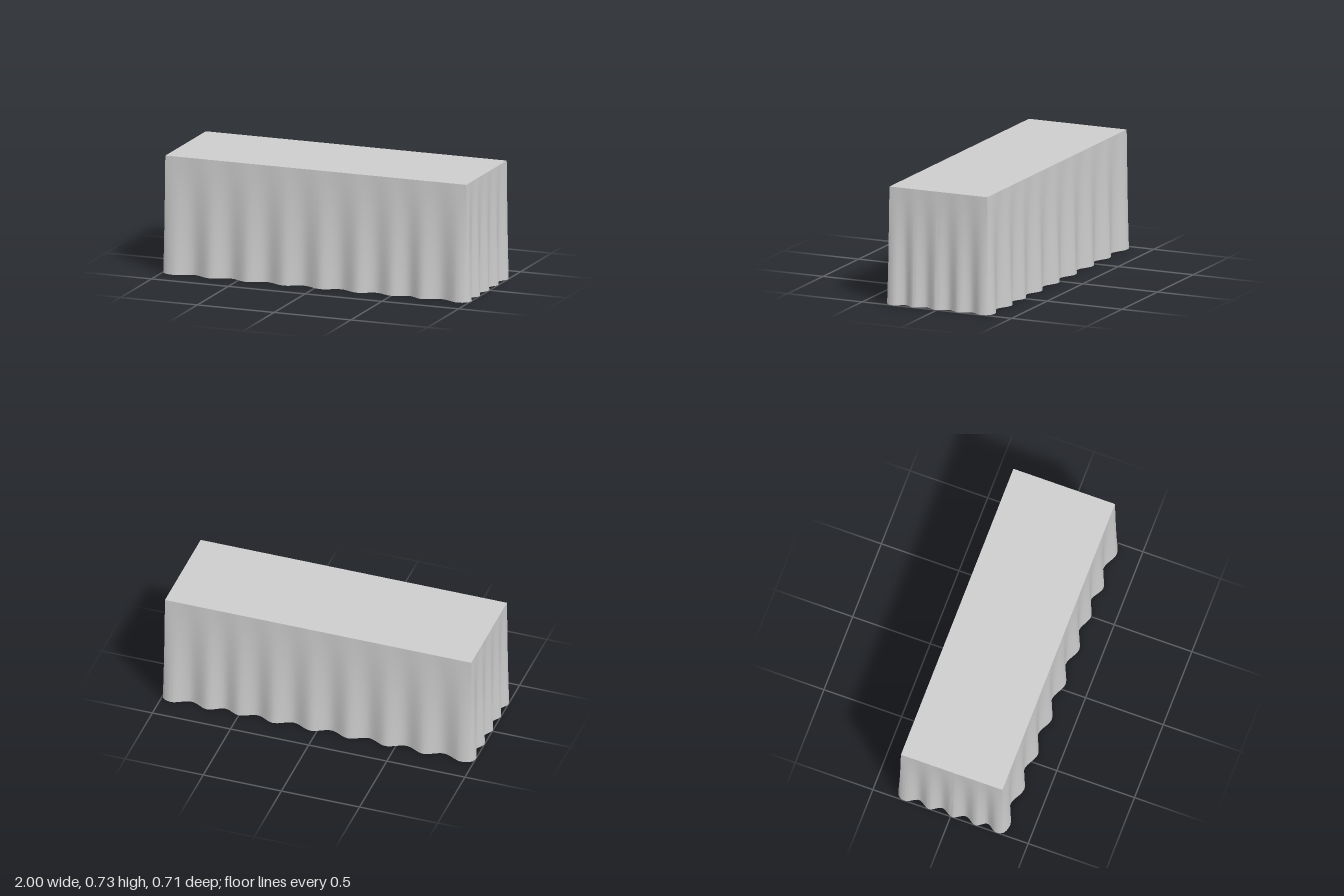
import * as THREE from 'three';
import { toCreasedNormals } from 'three/addons/utils/BufferGeometryUtils.js';

const W = 0.98, D = 0.327, H = 0.73; // half width, half depth and height of the table
const ROWS = 12, STEPS = 8;

// Fold crests along the long and short sides
const longFolds = [-0.92, -0.68, -0.44, -0.2, 0.04, 0.28, 0.5, 0.7, 0.93];
const shortFolds = [0.29, 0.16, 0.01, -0.14, -0.29];

// Crests with a valley between each pair: [position, outward offset]
function folds(crests, out, dip) {
  const list = [];
  crests.forEach((c, i) => {
    list.push([c, Math.abs(c - 0.5) < 0.01 ? out * 0.8 : out]);
    if (i < crests.length - 1) list.push([(c + crests[i + 1]) / 2, dip]);
  });
  return list;
}

// Hem outline, counter-clockwise from above, with the matching points on the top edge
function outline() {
  const hem = [], rim = [];
  const add = (x, z, tx, tz) => {
    hem.push(new THREE.Vector3(x, 0, z));
    rim.push(new THREE.Vector3(tx, H, tz));
  };
  const corner = (sx, sz) => add(sx * (W + 0.006), sz * (D + 0.009), sx * W, sz * D);
  const long = folds(longFolds, 0.03, -0.014);
  const short = folds(shortFolds, 0.02, -0.014);
  corner(-1, 1);
  long.forEach(([x, o]) => add(x, D + o, x, D));
  corner(1, 1);
  short.forEach(([z, o]) => add(W + o, z, W, z));
  corner(1, -1);
  [...long].reverse().forEach(([x, o]) => add(x, -D - o, x, -D));
  corner(-1, -1);
  [...short].reverse().forEach(([z, o]) => add(-W - o, z, -W, z));
  return { hem, rim };
}

// Draped skirt: straight at the rim, fully folded at the hem
function skirtGeometry() {
  const { hem, rim } = outline();
  const curve = new THREE.CatmullRomCurve3(hem, true, 'centripetal');
  const n = hem.length, cols = n * STEPS;
  const pos = [], idx = [];
  const top = new THREE.Vector3(), p = new THREE.Vector3();
  for (let r = 0; r <= ROWS; r++) {
    for (let c = 0; c < cols; c++) {
      const k = Math.floor(c / STEPS);
      top.lerpVectors(rim[k], rim[(k + 1) % n], (c % STEPS) / STEPS);
      p.lerpVectors(curve.getPoint(c / cols), top, r / ROWS);
      pos.push(p.x, (H * r) / ROWS, p.z);
    }
  }
  for (let r = 0; r < ROWS; r++) {
    for (let c = 0; c < cols; c++) {
      const a = r * cols + c, b = r * cols + ((c + 1) % cols);
      idx.push(a, b, b + cols, a, b + cols, a + cols);
    }
  }
  const g = new THREE.BufferGeometry();
  g.setAttribute('position', new THREE.Float32BufferAttribute(pos, 3));
  g.setIndex(idx);
  return toCreasedNormals(g, 0.6);
}

export function createModel() {
  const group = new THREE.Group();
  group.name = 'tablecloth';
  const cloth = new THREE.MeshStandardMaterial({ color: 0xcccccc, side: THREE.DoubleSide });
  cloth.name = 'light grey cloth';

  const skirt = new THREE.Mesh(skirtGeometry(), cloth);
  skirt.name = 'drapedSkirt';

  // Flat cloth on the table top
  const topGeo = new THREE.PlaneGeometry(2 * W, 2 * D);
  topGeo.rotateX(-Math.PI / 2);
  topGeo.translate(0, H, 0);
  const top = new THREE.Mesh(topGeo, cloth);
  top.name = 'clothTop';

  group.add(skirt, top);
  return group;
}
